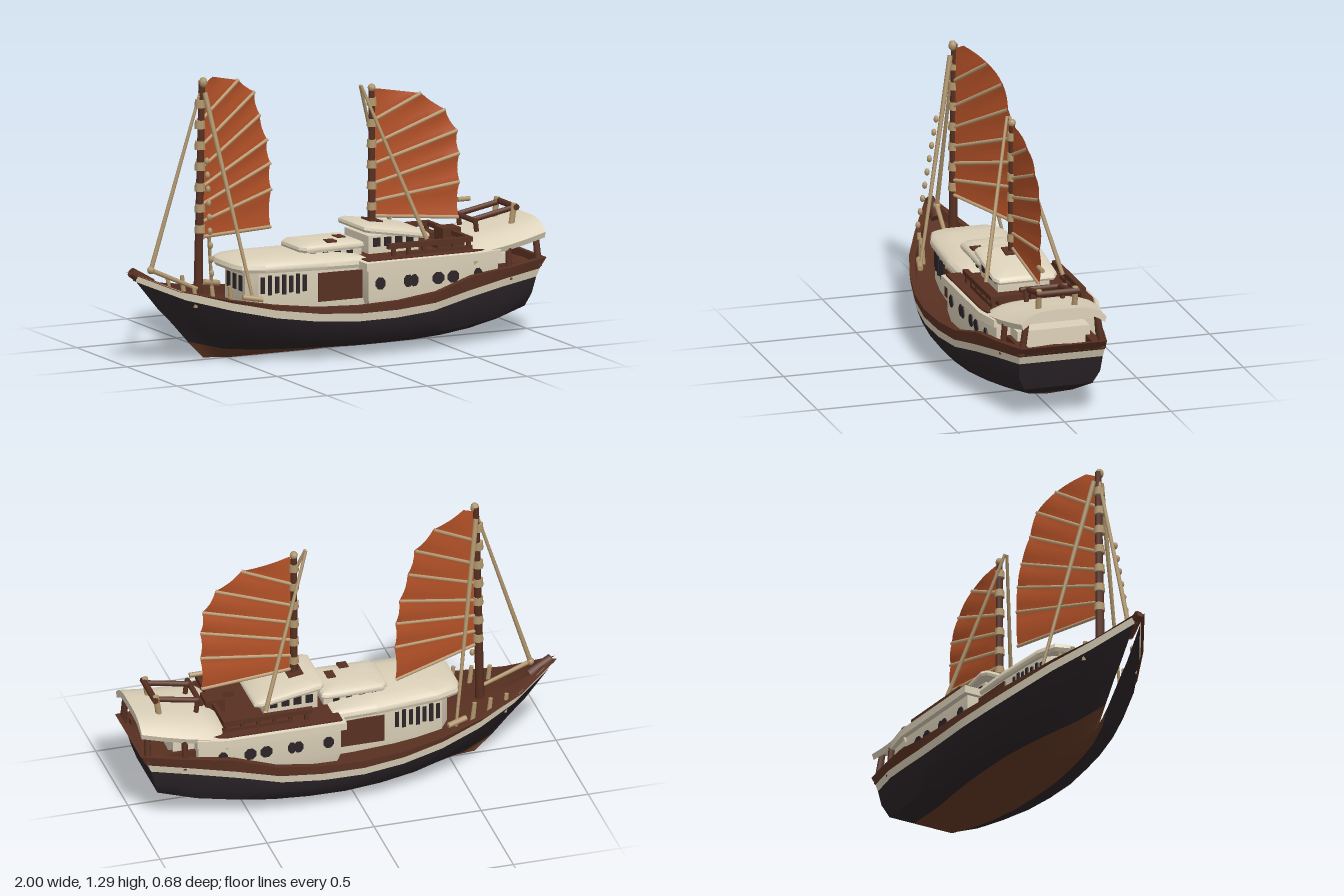
import * as THREE from 'three';
import { toCreasedNormals } from 'three/addons/utils/BufferGeometryUtils.js';

const mat = (name, color, side = THREE.FrontSide) => {
  const m = new THREE.MeshStandardMaterial({ color, side });
  m.name = name;
  return m;
};

export function createModel() {
  const model = new THREE.Group();
  const black = mat('hull black', 0x2b2428), brown = mat('wood brown', 0x583021);
  const keelBrown = mat('keel brown', 0x653a25), cream = mat('cream paint', 0xdcd1b9);
  const tan = mat('rope tan', 0xb0956c), canvas = mat('sail canvas', 0xb55228, THREE.DoubleSide);
  const glass = mat('window dark', 0x2c2428), cane = mat('batten cane', 0xc0a078);

  const add = (name, geo, material, parent = model) => {
    const m = new THREE.Mesh(geo, material);
    m.name = name;
    parent.add(m);
    return m;
  };
  const group = (name) => {
    const g = new THREE.Group();
    g.name = name;
    model.add(g);
    return g;
  };
  // Surface through points P(i, j); its front faces di x dj
  const grid = (P, ni, nj, crease = 0.6) => {
    const pos = [], idx = [];
    for (let j = 0; j <= nj; j++) for (let i = 0; i <= ni; i++) pos.push(...P(i, j));
    for (let j = 0; j < nj; j++) for (let i = 0; i < ni; i++) {
      const a = j * (ni + 1) + i, d = a + ni + 1;
      idx.push(a, a + 1, d + 1, a, d + 1, d);
    }
    const g = new THREE.BufferGeometry();
    g.setAttribute('position', new THREE.Float32BufferAttribute(pos, 3));
    g.setIndex(idx);
    return toCreasedNormals(g, crease);
  };
  // Stacked rings of a mirrored outline: rings are [scale, y], slope tilts along x
  const loft = (half, rings, slope = 0) => {
    const ring = [...half, ...half.slice().reverse().map(([x, z]) => [x, -z])];
    const cx = (half[0][0] + half[half.length - 1][0]) / 2;
    return grid((i, j) => {
      const [x, z] = ring[i % ring.length], [s, y] = rings[j];
      const X = cx + (x - cx) * s;
      return [X, y + slope * (X - cx), z * s];
    }, ring.length, rings.length - 1);
  };
  const box = (name, x0, x1, y0, y1, z0, z1, m, parent) => {
    const b = add(name, new THREE.BoxGeometry(x1 - x0, y1 - y0, z1 - z0), m, parent);
    b.position.set((x0 + x1) / 2, (y0 + y1) / 2, (z0 + z1) / 2);
    return b;
  };
  const rod = (name, a, b, r0, r1, m, parent) => {
    const A = new THREE.Vector3(...a), B = new THREE.Vector3(...b), d = B.clone().sub(A);
    const c = add(name, new THREE.CylinderGeometry(r1, r0, d.length(), 8), m, parent);
    c.position.copy(A).add(B).multiplyScalar(0.5);
    c.quaternion.setFromUnitVectors(new THREE.Vector3(0, 1, 0), d.normalize());
  };
  const ball = (name, p, r, stretch, m, parent) => {
    const b = add(name, new THREE.SphereGeometry(r, 8, 6), m, parent);
    b.scale.y = stretch;
    b.position.set(...p);
  };
  const sample = (t, v) => {
    const f = Math.min(t * 10, 9.9999), i = Math.floor(f);
    return v[i] + (v[i + 1] - v[i]) * (f - i);
  };

  // Hull: rows run from keel up to the rail, then in and across the deck
  const beam = [.015, .13, .22, .28, .32, .34, .337, .322, .285, .25, .2];
  const stripe = [.385, .305, .255, .215, .19, .178, .178, .19, .225, .255, .275];
  const rail = [.43, .345, .305, .275, .255, .25, .255, .275, .325, .34, .36];
  const rows = [ // bow x, stern x, width factor, inset, heights, lift
    [-.62, .72, 0, 0, [.01, 0, 0, 0, 0, .005, .01, .015, .02, .03, .045], 0],
    [-.7, .8, .5, 0, [.09, .055, .045, .042, .04, .035, .035, .035, .04, .055, .08], 0],
    [-.78, .91, .8, 0, [.18, .13, .105, .085, .075, .07, .07, .075, .085, .105, .14], 0],
    [-.85, .93, .95, 0, [.25, .2, .17, .15, .14, .135, .135, .14, .16, .18, .2], 0],
    [-.96, .95, .98, 0, stripe, 0],
    [-.97, .965, 1, 0, stripe, .037],
    [-1, 1, 1, 0, rail, 0],
    [-.975, .98, 1, .025, rail, 0],
    [-.97, .978, 1, .028, rail, -.04],
    [-.97, .978, 0, 0, rail, -.03],
  ];
  const N = 30;
  const hullPoint = (t, r, side) => {
    const [x0, x1, w, inset, ys, lift] = rows[r];
    return [x0 + (x1 - x0) * t, sample(t, ys) + lift, side * Math.max(sample(t, beam) * w - inset, 0)];
  };
  const hull = group('hull');
  for (const [name, r0, r1, m] of [['keelBottom', 0, 1, keelBrown], ['hullSide', 1, 4, black],
    ['hullStripe', 4, 5, cream], ['bulwark', 5, 8, brown], ['deck', 8, 9, brown]]) {
    add(name, grid((i, j) => hullPoint(i / N, r0 + j, 1), N, r1 - r0), m, hull);
    add(name, grid((i, j) => hullPoint(1 - i / N, r0 + j, -1), N, r1 - r0), m, hull);
    if (r0 < 8) add(name + 'Transom', grid((i, j) => hullPoint(1, r0 + j, 1 - 2 * i), 1, r1 - r0), m, hull);
  }
  rod('bowPost', [-.88, .365, 0], [-.98, .43, 0], .028, .022, brown, hull);
  for (const s of [1, -1]) for (const x of [-.72, -.64, -.56]) {
    rod('cleat', [x, .27, s * (.29 + x * .22)], [x - .01, .36, s * (.29 + x * .22)], .012, .01, tan, hull);
  }

  // Fore cabin, tiers and aft cabin: walls plus soft-edged roofs
  const cabins = group('cabins');
  const walls = (name, half, y0, y1) =>
    add(name, loft(half, [[.95, y0], [1, y0 + .05], [1, y1], [0, y1]]), cream, cabins);
  const roof = (name, half, y, h, slope = 0) => add(name, loft(half,
    [[0, y], [.97, y], [1, y + h * .25], [.98, y + h * .55], [.9, y + h * .8], [.6, y + h], [0, y + h * 1.05]], slope), cream, cabins);
  walls('foreCabin', [[-.46, .1], [-.42, .155], [-.3, .175], [.1, .2]], .2, .42);
  roof('foreCabinRoof', [[-.52, .09], [-.5, .15], [-.4, .185], [-.1, .205], [.12, .205]], .4, .06, -.02);
  walls('middleTier', [[-.16, .1], [.12, .11]], .38, .48);
  roof('middleTierRoof', [[-.185, .09], [-.16, .12], [.1, .125], [.13, .115]], .465, .04);
  walls('wheelhouse', [[.15, .12], [.4, .12]], .38, .515);
  roof('wheelhouseRoof', [[.12, .13], [.14, .15], [.42, .15], [.45, .13]], .51, .04, -.17);
  walls('aftCabin', [[.08, .255], [.6, .255], [.74, .235]], .21, .41);
  add('aftCabinEaves', loft([[.06, .28], [.62, .28], [.75, .25]],
    [[0, .39], [1, .39], [1, .425], [.95, .43], [.93, .415], [0, .415]]), cream, cabins);
  add('aftCabinDeck', loft([[.075, .262], [.6, .262], [.7, .235]], [[1, .41], [1, .434], [0, .434]]), brown, cabins);
  box('roofHatch', -.05, -.005, .5, .509, .06, .11, brown, cabins);
  box('roofHatch', .03, .07, .5, .51, -.01, .05, brown, cabins);
  box('mastCollar', .19, .26, .54, .568, -.04, .04, brown, cabins).rotation.z = -.17;

  // Windows and doors as thin plates on both sides
  const openings = group('openings');
  for (const s of [1, -1]) {
    const plate = (name, x, y, w, h, z, m = glass) =>
      box(name, x - w / 2, x + w / 2, y - h / 2, y + h / 2, s * z - .004, s * z + .004, m, openings);
    for (let k = 0; k < 7; k++) {
      const x = -.4 + k * .033;
      plate('slitWindow', x, .345, .018, k % 2 ? .09 : .075, x < -.3 ? .157 + (x + .42) * .167 : .177 + (x + .3) * .0625);
    }
    plate('sideDoor', -.03, .32, .22, .13, .195, brown);
    for (const [x, w] of [[.14, .026], [.28, .024], [.31, .02], [.43, .03], [.505, .03], [.63, .022]]) {
      const p = add('porthole', new THREE.CylinderGeometry(1, 1, .008, 8, 1, false, Math.PI / 8), glass, openings);
      p.rotation.x = Math.PI / 2;
      p.scale.set(w, 1, .029);
      p.position.set(x, .325, s * (x > .6 ? .252 : .256));
    }
    for (let k = 0; k < 4; k++) {
      plate('tierWindow', -.12 + k * .06, .442, .028, .035, .104 + k * .002);
      plate('wheelhouseWindow', .19 + k * .055, .485, .035, .04, .121);
    }
  }
  for (const z of [-.06, 0, .06]) box('frontWindow', -.464, -.457, .31, .38, z - .016, z + .016, glass, openings);

  // Railings and fittings on the aft cabin
  const fittings = group('deckFittings');
  for (const s of [1, -1]) {
    box('topRail', .2, .62, .468, .49, s * .21 - .013, s * .21 + .013, brown, fittings);
    box('lowRail', .3, .62, .43, .45, s * .21 - .008, s * .21 + .008, brown, fittings);
    for (let k = 0; k < 6; k++) box('railPost', .22 + k * .075, .238 + k * .075, .42, .48, s * .21 - .008, s * .21 + .008, brown, fittings);
    box('bench', .48, .6, .43, .46, s * .13 - .05, s * .13 + .05, brown, fittings);
  }
  box('locker', .56, .65, .42, .5, -.045, .045, brown, fittings);
  box('backRail', .6, .62, .468, .49, -.21, .21, brown, fittings);

  // Stern canopy: an arched slab, rounded down at its front and rising aft
  const stern = group('sternCanopy');
  const arch = [];
  for (let k = 0; k < 26; k++) { // top edge, then underside
    const u = 1 - (k < 13 ? k : 25 - k) / 6, q = Math.abs(u) ** 4;
    arch.push(k < 13 ? [u, .483 - .055 * q] : [u * .96, .447 - .045 * q]);
  }
  const stations = [[.61, -.035], [.635, -.015], [.69, 0], [.8, .012], [.9, .028], [.995, .047]];
  const canopyPoint = (k, i) => {
    const [u, y] = arch[k % arch.length], [x, lift] = stations[i];
    return [x, y + lift, u * (.27 - .07 * (x - .61) / .385)];
  };
  add('canopyRoof', grid((i, j) => canopyPoint(j, i), 5, arch.length), cream, stern);
  for (const f of [0, 1]) {
    add('canopyEdge', grid((i, j) => canopyPoint(i === f ? 25 - j : j, f * 5), 1, 12), cream, stern);
  }
  for (const s of [1, -1]) {
    rod('canopyPost', [.965, .32, s * .19], [.96, .48, s * .165], .017, .015, brown, stern);
    rod('canopyPost', [.8, .28, s * .228], [.8, .435, s * .215], .015, .014, brown, stern);
    box('sternSeatSide', .74, .94, .28, .345, s * .17 - .02, s * .17 + .02, brown, stern);
  }
  box('sternBench', .74, .84, .28, .39, -.17, .17, cream, stern);
  box('cabinBackPanel', .745, .753, .42, .47, -.15, .15, brown, stern);

  // Open frame standing on the canopy
  const frame = group('canopyFrame');
  for (const s of [1, -1]) {
    rod('frameSide', [.69, .535, s * .075], [.9, .575, s * .075], .013, .013, brown, frame);
    rod('frameLeg', [.88, .49, s * .085], [.895, .595, s * .085], .014, .014, tan, frame);
    rod('frameLeg', [.71, .46, s * .085], [.7, .54, s * .085], .012, .012, brown, frame);
  }
  rod('frameBar', [.69, .535, -.11], [.69, .535, .11], .013, .013, brown, frame);
  rod('frameBar', [.9, .578, -.1], [.9, .578, .1], .015, .015, brown, frame);

  // Fanned batten sails: luff heights paired with leech points
  const sail = (name, x0, luff, leech, swing) => {
    const g = group(name), n = luff.length - 1, M = 4;
    const point = (u, v) => {
      const k = Math.min(Math.floor(v), n - 1), f = v - k;
      const lx = leech[k][0] + (leech[k + 1][0] - leech[k][0]) * f - .006 * Math.sin(Math.PI * f);
      const ly = leech[k][1] + (leech[k + 1][1] - leech[k][1]) * f;
      const ll = luff[k] + (luff[k + 1] - luff[k]) * f, x = x0 + (lx - x0) * u;
      return [x, ll + (ly - ll) * u, -(x - x0) * swing - .01 * Math.sin(Math.PI * f) * u];
    };
    add('sailCloth', grid((i, j) => point(i / 8, j / M), 8, n * M, .4), canvas, g);
    for (let k = 0; k < n; k++) {
      const path = new THREE.CatmullRomCurve3([0, .25, .5, .75, 1].map((u) => new THREE.Vector3(...point(u, k))));
      add('batten', new THREE.TubeGeometry(path, 8, .0085, 6), cane, g);
    }
  };
  sail('foreSail', -.62, [.56, .63, .71, .79, .88, .98, 1.1, 1.25],
    [[-.2, .54], [-.195, .71], [-.2, .83], [-.22, .94], [-.265, 1.06], [-.3, 1.17], [-.4, 1.24], [-.56, 1.28]], .39);
  sail('aftSail', .24, [.58, .65, .73, .82, .91, 1.02, 1.16],
    [[.655, .54], [.66, .7], [.66, .83], [.65, .935], [.59, 1.035], [.47, 1.12], [.25, 1.16]], -.02);

  // Masts with lashings, stays and shrouds
  const rigging = group('rigging');
  rod('foreMast', [-.645, .25, 0], [-.625, 1.27, 0], .022, .015, brown, rigging);
  rod('aftMast', [.225, .45, 0], [.225, 1.17, 0], .02, .014, brown, rigging);
  rod('boomEnd', [.65, .62, .01], [.71, .62, .01], .011, .011, tan, rigging);
  ball('mastCap', [-.622, 1.265, .008], .02, 1.2, tan, rigging);
  ball('mastCap', [.225, 1.165, 0], .019, 1, tan, rigging);
  for (let k = 0; k < 7; k++) {
    const y = .58 + k * .095;
    rod('lashing', [-.635, y, 0], [-.635, y + .037, 0], .026, .023, tan, rigging);
    if (k < 6) rod('lashing', [.225, y + .03, 0], [.225, y + .065, 0], .024, .021, tan, rigging);
  }
  rod('foreStay', [-.63, 1.23, 0], [-.88, .43, 0], .007, .011, tan, rigging);
  rod('foreStayFoot', [-.88, .43, 0], [-.66, .33, .02], .011, .009, tan, rigging);
  ball('stayKnot', [-.88, .43, 0], .018, 1, tan, rigging);
  for (const s of [1, -1]) {
    rod('foreShroud', [-.62, 1.22, s * .02], [-.47, .28, s * .21], .012, .007, tan, rigging);
    rod('shroudFoot', [-.52, .31, s * .2], [-.43, .295, s * .22], .013, .013, tan, rigging);
    rod('aftShroud', [.17, 1.18, s * .005], [.41, .49, s * .18], .007, .01, tan, rigging);
  }
  // Hanging string of floats
  for (let k = 0; k < 9; k++) ball('float', [-.64 - k * .002, .92 - k * .062, .08 + k * .01], .012, 1.4, tan, rigging);
  return model;
}
